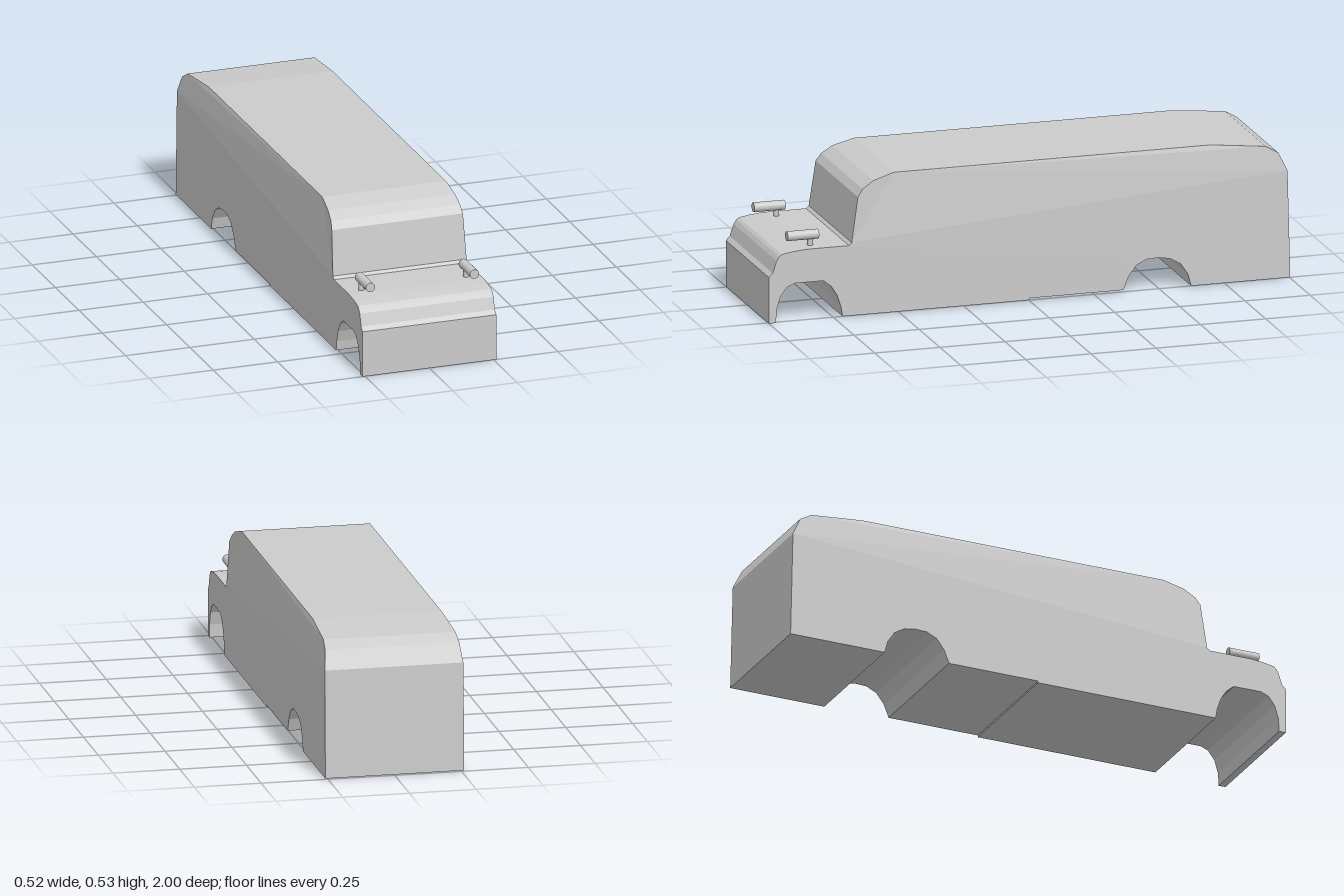
import * as THREE from 'three';

const material = new THREE.MeshStandardMaterial({ color: 0xcccccc, flatShading: true });
const smooth = new THREE.MeshStandardMaterial({ color: 0xcccccc });

// Side profile as [z, y]
const nose = [[1, 0], [1, 0.175], [0.985, 0.19], [0.97, 0.235], [0.96, 0.25], [0.95, 0.258], [0.91, 0.265], [0.86, 0.27]];
const cabin = [[0.693, 0.27], [0.682, 0.28], [0.657, 0.45], [0.637, 0.478], [0.595, 0.505], [0.515, 0.528]];
const tail = [[-0.7, 0.527], [-0.91, 0.505], [-0.957, 0.478], [-0.99, 0.41], [-1, 0.003]];
const rearArch = [[-0.62, 0.003], [-0.608, 0.048], [-0.58, 0.09], [-0.54, 0.114], [-0.495, 0.121],
  [-0.45, 0.119], [-0.41, 0.1], [-0.38, 0.06], [-0.36, 0.01]];
const sill = [[0, 0.01], [0, 0.003]];
const frontArch = [[0.717, 0.003], [0.723, 0.04], [0.738, 0.085], [0.76, 0.12], [0.79, 0.145],
  [0.9, 0.145], [0.93, 0.133], [0.955, 0.1], [0.97, 0.05], [0.973, 0]];

// Half width of the body by height: upright sides, narrowing to the roof
function halfWidth(y) {
  const steps = [[0, 0.26], [0.4, 0.26], [0.45, 0.255], [0.505, 0.247], [0.53, 0.24]];
  for (let i = 1; i < steps.length; i++) {
    const [y0, w0] = steps[i - 1], [y1, w1] = steps[i];
    if (y <= y1) return w0 + (w1 - w0) * (y - y0) / (y1 - y0);
  }
  return 0.24;
}

function makeBody() {
  const points = [...nose, ...cabin, ...tail, ...rearArch, ...sill, ...frontArch];
  const shape = new THREE.Shape(points.map(([z, y]) => new THREE.Vector2(z, y)));
  const geometry = new THREE.ExtrudeGeometry(shape, { depth: 2, bevelEnabled: false });
  geometry.translate(0, 0, -1).rotateY(-Math.PI / 2);
  const p = geometry.attributes.position;
  for (let i = 0; i < p.count; i++) p.setX(i, Math.sign(p.getX(i)) * halfWidth(p.getY(i)));
  geometry.computeVertexNormals();
  const mesh = new THREE.Mesh(geometry, material);
  mesh.name = 'body';
  return mesh;
}

// Round lamp on a short post
function makeHeadlight(name, x, postX) {
  const group = new THREE.Group();
  group.name = name;
  const lamp = new THREE.Mesh(new THREE.CylinderGeometry(0.018, 0.018, 0.12, 24).rotateX(Math.PI / 2), smooth);
  lamp.name = 'lamp';
  lamp.position.set(x, 0.31, 0.855);
  const post = new THREE.Mesh(new THREE.CylinderGeometry(0.0105, 0.0105, 0.035, 20), smooth);
  post.name = 'lampPost';
  post.position.set(postX, 0.281, 0.825);
  group.add(lamp, post);
  return group;
}

export function createModel() {
  const model = new THREE.Group();
  model.name = 'van';
  model.add(
    makeBody(),
    makeHeadlight('leftHeadlight', 0.206, 0.206),
    makeHeadlight('rightHeadlight', -0.198, -0.202),
  );
  return model;
}
